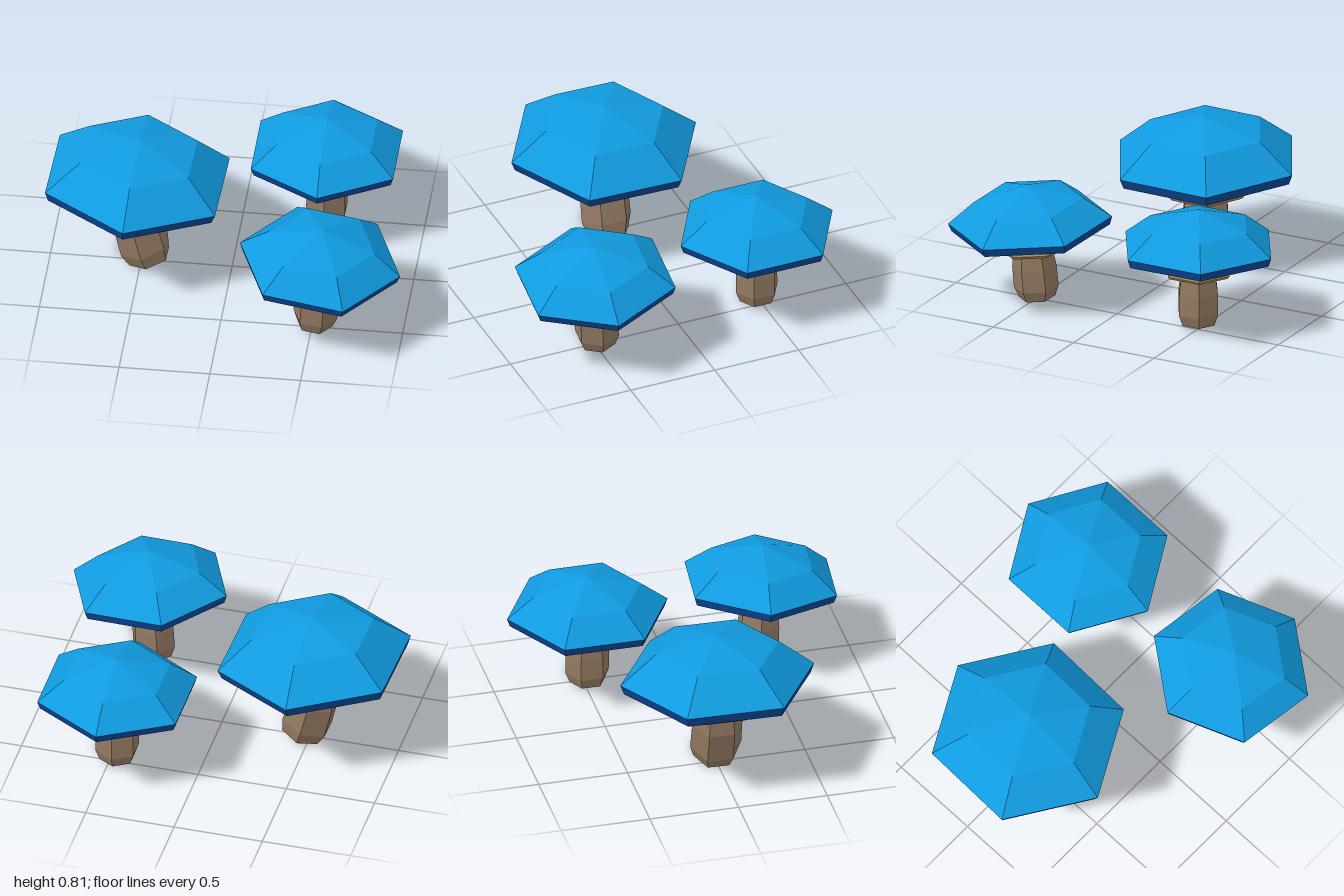
import * as THREE from 'three';

const SIDES = 6;
const mat = (name, color) => {
  const m = new THREE.MeshStandardMaterial({ color });
  m.name = name;
  return m;
};

// Revolve a [radius, y] profile (bottom to top) into six flat facets.
function facets(profile, bend) {
  const geo = new THREE.LatheGeometry(profile.map(([r, y]) => new THREE.Vector2(r, y)), SIDES);
  if (bend) bend(geo.attributes.position);
  const flat = geo.toNonIndexed();
  flat.computeVertexNormals();
  return flat;
}

// Stem rings are [radius, y, xOffset, tilt], bottom to top.
function stemGeometry(rings) {
  const all = [[0, ...rings[0].slice(1)], ...rings];
  return facets(all, (pos) => {
    for (let i = 0; i < pos.count; i++) {
      const [, y, offset, tilt] = all[i % all.length];
      const x = pos.getX(i);
      pos.setXYZ(i, offset + x * Math.cos(tilt), y + x * Math.sin(tilt), pos.getZ(i));
    }
  });
}

const BIG = {
  top: [[0.543, 0], [0.345, 0.163], [0, 0.243]],
  rim: [[0, -0.055], [0.522, -0.055], [0.543, 0]],
  skirt: [[0.11, -0.14], [0.222, -0.2], [0.237, -0.18], [0.165, -0.055]],
  stem: [
    [0.12, -0.536, 0.096, 0.32],
    [0.143, -0.463, 0.067, 0.36],
    [0.141, -0.305, 0.018, 0.2],
    [0.125, -0.18, 0.003, 0.03],
    [0.12, -0.055, 0, 0],
  ],
};

const SMALL = {
  top: [[0.452, 0], [0.3, 0.12], [0, 0.21]],
  rim: [[0, -0.046], [0.436, -0.046], [0.452, 0]],
  skirt: [[0.09, -0.115], [0.183, -0.163], [0.195, -0.147], [0.135, -0.046]],
  stem: [
    [0.1, -0.452, 0, 0],
    [0.123, -0.39, 0, 0],
    [0.122, -0.27, 0, 0],
    [0.107, -0.15, 0, 0],
    [0.1, -0.046, 0, 0],
  ],
};

export function createModel() {
  const blue = mat('cap blue', 0x109be0);
  const navy = mat('rim dark blue', 0x0b4796);
  const tan = mat('skirt tan', 0xb69154);
  const brown = mat('stem brown', 0x937a62);

  // Each mushroom pivots at the centre of its cap rim.
  function mushroom(name, spec, position, [rx, ry, rz]) {
    const g = new THREE.Group();
    g.name = name;
    const add = (part, geo, material) => {
      const mesh = new THREE.Mesh(geo, material);
      mesh.name = part;
      g.add(mesh);
    };
    add('capTop', facets(spec.top), blue);
    add('capRim', facets(spec.rim), navy);
    add('skirt', facets(spec.skirt), tan);
    add('stem', stemGeometry(spec.stem), brown);
    g.position.set(...position);
    g.rotation.set(rx, ry, rz, 'XZY');
    return g;
  }

  const model = new THREE.Group();
  model.name = 'mushroomCluster';
  model.add(
    mushroom('largeMushroom', BIG, [-0.522, 0.577, 0], [0, -0.028, -0.058]),
    mushroom('backMushroom', SMALL, [0.462, 0.486, -0.484], [0, 0, 0]),
    mushroom('frontMushroom', SMALL, [0.547, 0.48, 0.515], [0.06, 0.4, -0.073]),
  );
  return model;
}
